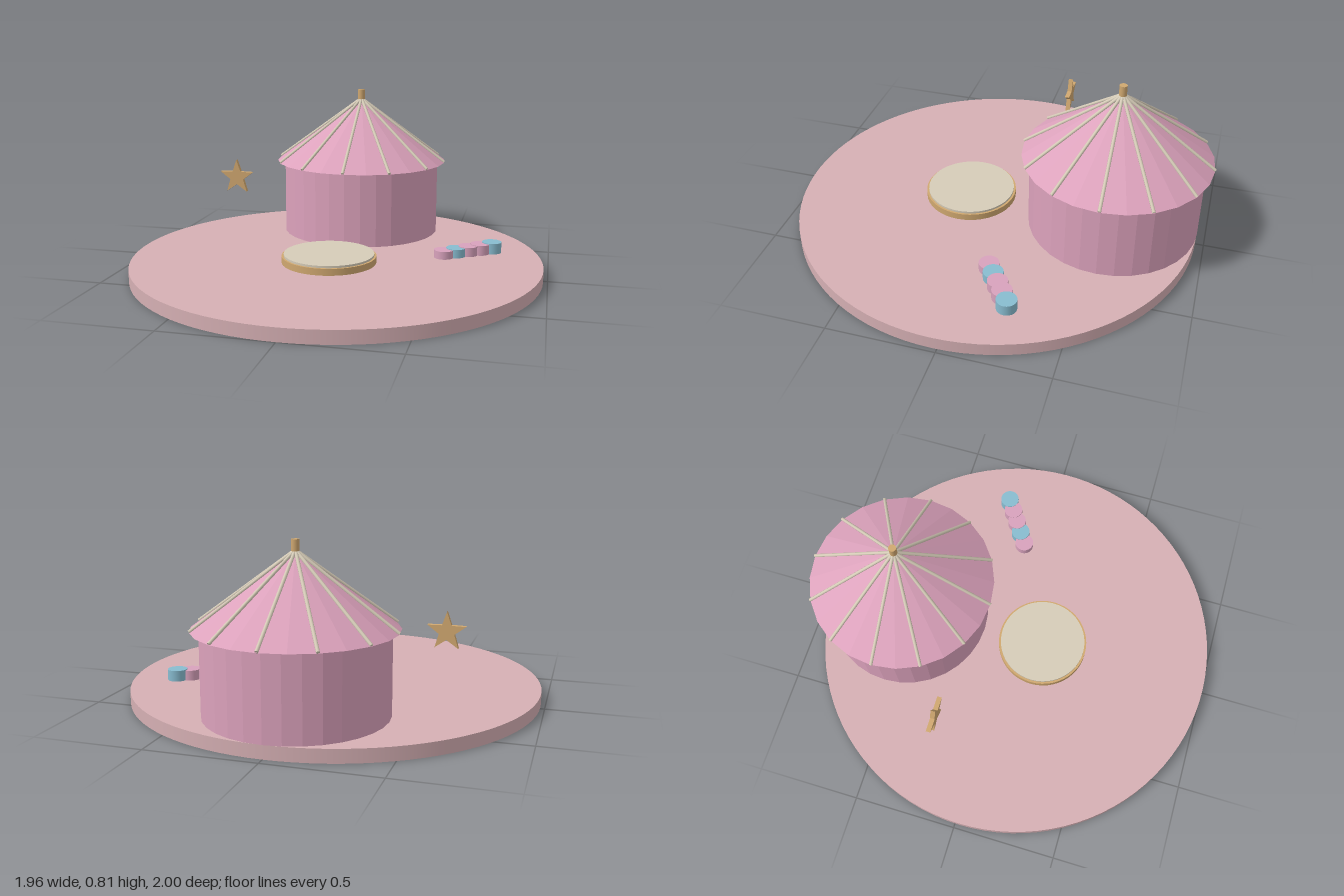
import * as THREE from 'three';

const mat = (name, color, flat = false) => {
  const m = new THREE.MeshStandardMaterial({ color, flatShading: flat });
  m.name = name;
  return m;
};

export function createModel() {
  const model = new THREE.Group();
  model.name = 'tentScene';

  const rose = mat('dusty rose', 0xd6b0b4);
  const pink = mat('pink', 0xdca2bc, true);
  const gold = mat('gold', 0xd0a870);
  const cream = mat('cream', 0xd6ccb8);
  const blue = mat('sky blue', 0x88bcd0);
  const softPink = mat('soft pink', 0xd8a2bc);

  const add = (parent, name, geometry, material, x = 0, y = 0, z = 0) => {
    const mesh = new THREE.Mesh(geometry, material);
    mesh.name = name;
    mesh.position.set(x, y, z);
    parent.add(mesh);
    return mesh;
  };

  // Upright disc or drum given by its bottom and top heights
  const drum = (parent, name, radius, y0, y1, sides, material, x = 0, z = 0) =>
    add(parent, name, new THREE.CylinderGeometry(radius, radius, y1 - y0, sides),
      material, x, (y0 + y1) / 2, z);

  // Round ground platform
  drum(model, 'platform', 0.98, 0, 0.06, 96, rose, 0, 0.02);

  // Tent: walls, conical roof, twelve ribs and a finial
  const tent = new THREE.Group();
  tent.name = 'tent';
  tent.position.z = -0.555;
  model.add(tent);

  const eaveY = 0.435, apexY = 0.76, roofR = 0.445;
  drum(tent, 'tentWall', 0.407, 0.06, eaveY + 0.004, 32, pink);
  add(tent, 'tentRoof', new THREE.ConeGeometry(roofR, apexY - eaveY, 24), pink,
    0, (eaveY + apexY) / 2, 0);

  const ribLength = Math.hypot(roofR, apexY - eaveY);
  const ribGeometry = new THREE.CylinderGeometry(0.008, 0.008, ribLength, 8);
  const up = new THREE.Vector3(0, 1, 0);
  for (let i = 0; i < 12; i++) {
    const a = (i / 12) * Math.PI * 2;
    const foot = new THREE.Vector3(Math.sin(a) * roofR, eaveY + 0.004, Math.cos(a) * roofR);
    const apex = new THREE.Vector3(0, apexY + 0.004, 0);
    const rib = add(tent, 'roofRib', ribGeometry, cream);
    rib.position.addVectors(foot, apex).multiplyScalar(0.5);
    rib.quaternion.setFromUnitVectors(up, apex.sub(foot).normalize());
  }
  drum(tent, 'finial', 0.018, 0.755, 0.81, 16, gold);

  // Low round stage with a pale top
  drum(model, 'stageRim', 0.222, 0.074, 0.106, 48, gold, 0, 0.16);
  drum(model, 'stageTop', 0.212, 0.1, 0.116, 48, cream, 0, 0.16);

  // Floating five-pointed star
  const star = new THREE.Shape();
  for (let i = 0; i < 10; i++) {
    const r = i % 2 ? 0.036 : 0.09;
    const a = Math.PI / 2 + (i * Math.PI) / 5;
    star[i ? 'lineTo' : 'moveTo'](Math.cos(a) * r, Math.sin(a) * r);
  }
  star.closePath();
  add(model, 'star', new THREE.ExtrudeGeometry(star, { depth: 0.022, bevelEnabled: false }),
    gold, -0.578, 0.38, -0.216);

  // Row of overlapping stepping drums
  [softPink, blue, softPink, softPink, blue].forEach((material, i) => {
    drum(model, 'steppingDrum', 0.047, 0.06, 0.098 + i * 0.0035, 24, material,
      0.508 + i * 0.0545, -0.085 - i * 0.036);
  });

  return model;
}
